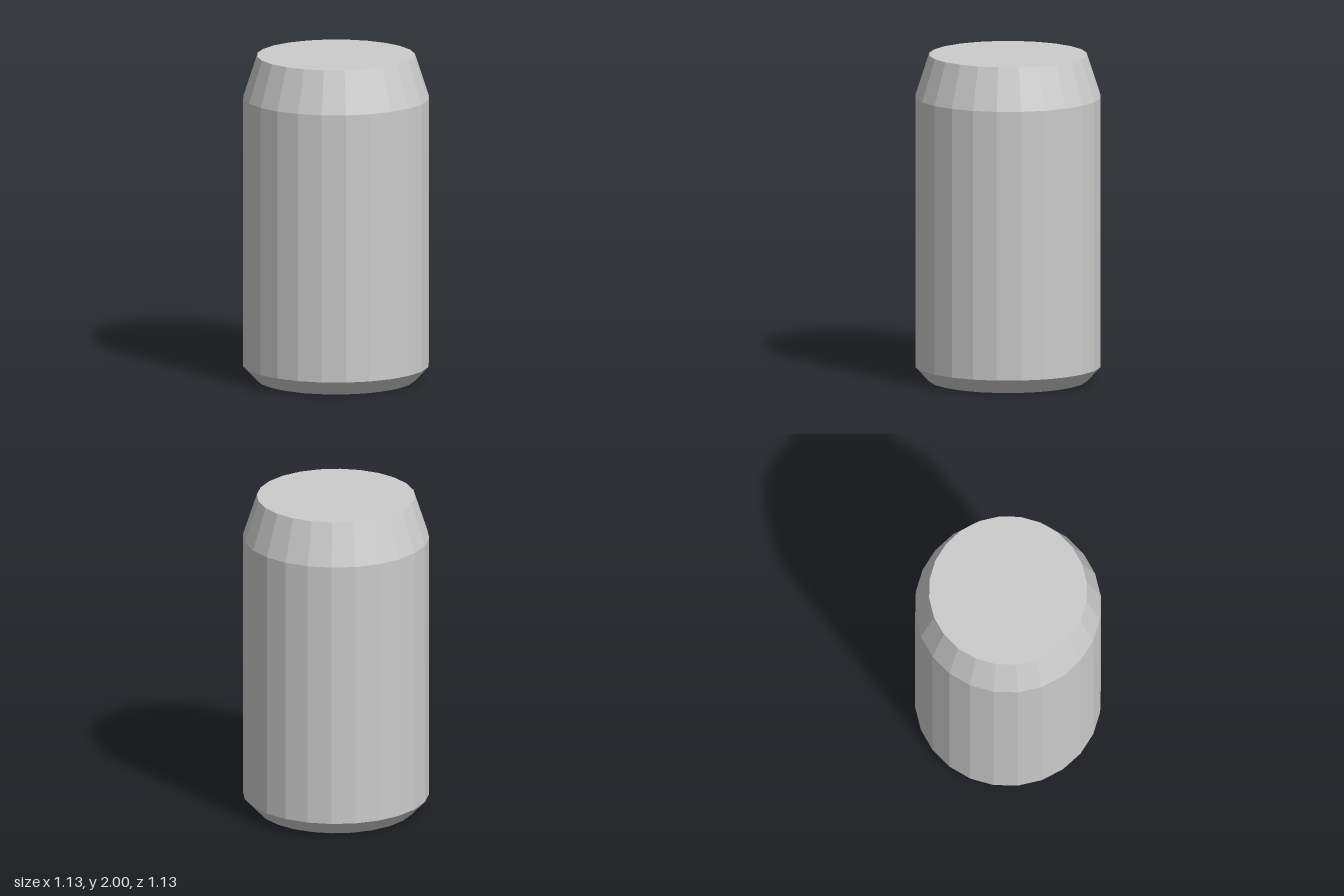
import * as THREE from 'three';

const SIDES = 24;
const END_RADIUS = 0.48;
const BODY_RADIUS = 0.565;
const HEIGHT = 2;

export function createModel() {
  const group = new THREE.Group();
  group.name = 'can';
  const material = new THREE.MeshStandardMaterial({ color: 0xcccccc, flatShading: true });

  const add = (name, geometry, y) => {
    const mesh = new THREE.Mesh(geometry, material);
    mesh.name = name;
    mesh.position.y = y;
    group.add(mesh);
  };

  // Faceted wall rings, from bottom to top
  const rings = [
    ['bottomBevel', 0, END_RADIUS, 0.09, BODY_RADIUS],
    ['body', 0.09, BODY_RADIUS, 1.74, BODY_RADIUS],
    ['shoulder', 1.74, BODY_RADIUS, HEIGHT, END_RADIUS],
  ];
  for (const [name, y0, r0, y1, r1] of rings) {
    add(name, new THREE.CylinderGeometry(r1, r0, y1 - y0, SIDES, 1, true), (y0 + y1) / 2);
  }

  // Flat end discs
  add('lid', new THREE.CircleGeometry(END_RADIUS, SIDES).rotateX(-Math.PI / 2), HEIGHT);
  add('base', new THREE.CircleGeometry(END_RADIUS, SIDES).rotateX(Math.PI / 2), 0);

  return group;
}
